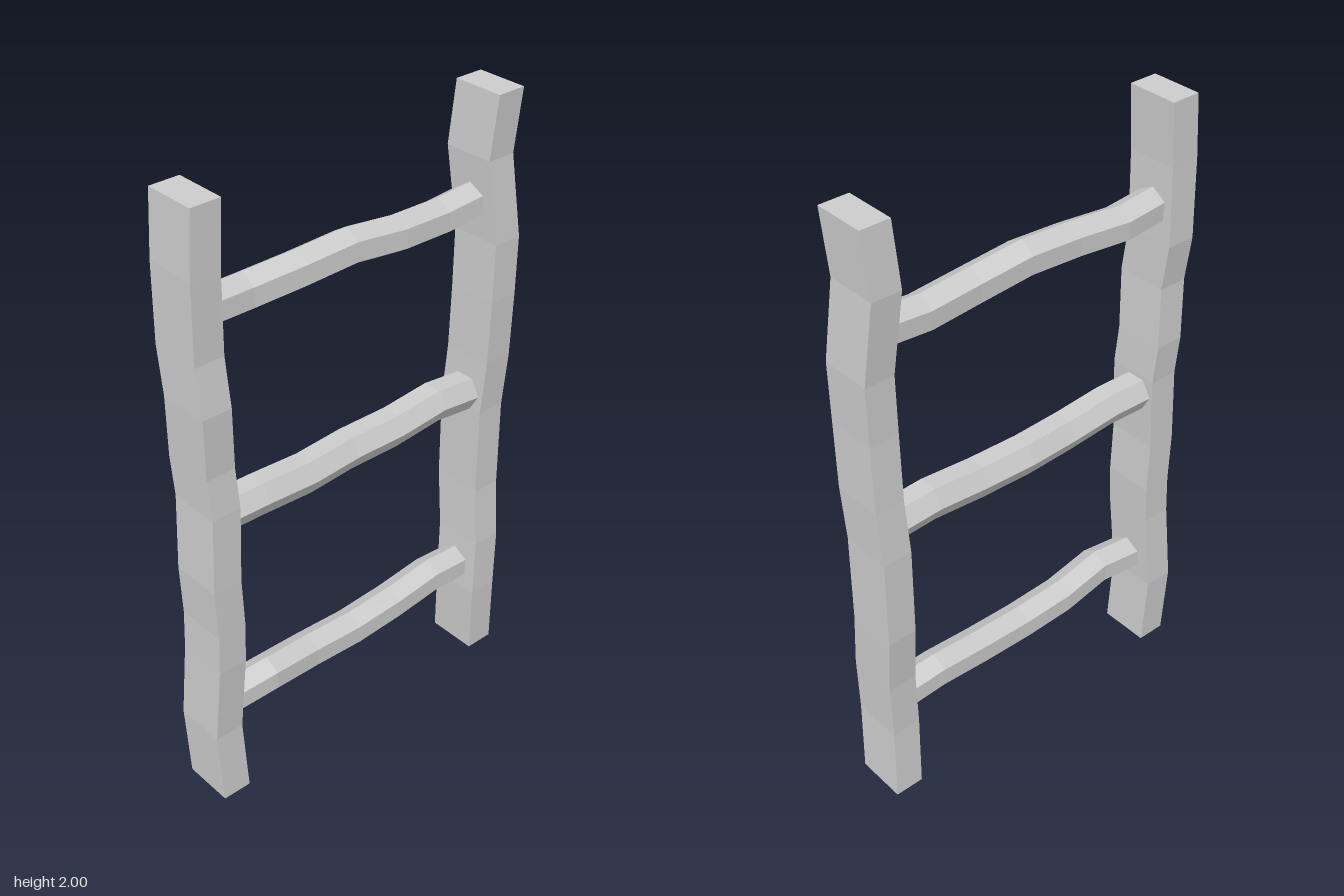
import * as THREE from 'three';

const material = new THREE.MeshStandardMaterial({ color: 0xcccccc, flatShading: true });

// Moves each ring of vertices along the given axis onto its [x, y, z] centre.
function bend(geometry, axis, rings) {
  const p = geometry.attributes.position;
  const v = new THREE.Vector3();
  for (let i = 0; i < p.count; i++) {
    v.fromBufferAttribute(p, i);
    const t = v.getComponent(axis) + 0.5;
    v.setComponent(axis, 0);
    const c = rings[Math.round(t * (rings.length - 1))];
    p.setXYZ(i, v.x + c[0], v.y + c[1], v.z + c[2]);
  }
  geometry.computeVertexNormals();
  return geometry;
}

function addMesh(group, name, geometry) {
  const mesh = new THREE.Mesh(geometry, material);
  mesh.name = name;
  group.add(mesh);
}

// Crooked rectangular post
function addPost(group, name, rings) {
  const geometry = new THREE.BoxGeometry(0.168, 1, 0.096, 1, rings.length - 1, 1);
  addMesh(group, name, bend(geometry, 1, rings));
}

// Crooked six-sided rung; xs and ys are its centres from back to front
function addRung(group, name, radius, turn, xs, ys) {
  const n = xs.length - 1;
  const geometry = new THREE.CylinderGeometry(radius, radius, 1, 6, n, false, Math.PI / 2 + turn);
  geometry.rotateX(Math.PI / 2);
  const rings = xs.map((x, i) => [x, ys[i], -0.525 + (1.05 * i) / n]);
  addMesh(group, name, bend(geometry, 2, rings));
}

export function createModel() {
  const group = new THREE.Group();
  group.name = 'ladder';

  addPost(group, 'frontPost', [
    [0, 0, 0.531], [-0.009, 0.25, 0.541], [0.011, 0.52, 0.531], [0.012, 0.65, 0.527],
    [0.013, 0.82, 0.535], [0.013, 1.07, 0.526], [0.002, 1.2, 0.53], [0.011, 1.4, 0.538],
    [-0.01, 1.55, 0.538], [-0.003, 1.8, 0.541], [0, 2, 0.531],
  ]);
  addPost(group, 'backPost', [
    [0, 0, -0.531], [0.011, 0.25, -0.521], [0.008, 0.45, -0.528], [-0.011, 0.65, -0.532],
    [-0.011, 0.95, -0.532], [0.002, 1.13, -0.538], [0.011, 1.35, -0.536], [0.011, 1.54, -0.539],
    [-0.015, 1.8, -0.52], [0, 2, -0.531],
  ]);

  addRung(group, 'lowerRung', 0.06, 0.52,
    [0, 0, 0.005, 0.008, 0.008, 0.022, 0.01],
    [0.33, 0.34, 0.325, 0.318, 0.325, 0.343, 0.33]);
  addRung(group, 'middleRung', 0.062, 0,
    [0, -0.005, -0.004, -0.008, 0.002, 0.005, 0],
    [1, 1.015, 1, 0.998, 0.995, 1.006, 1.005]);
  addRung(group, 'upperRung', 0.059, 0.56,
    [-0.008, -0.008, 0, -0.005, -0.008, -0.02, -0.01],
    [1.655, 1.642, 1.65, 1.668, 1.66, 1.65, 1.658]);

  return group;
}
